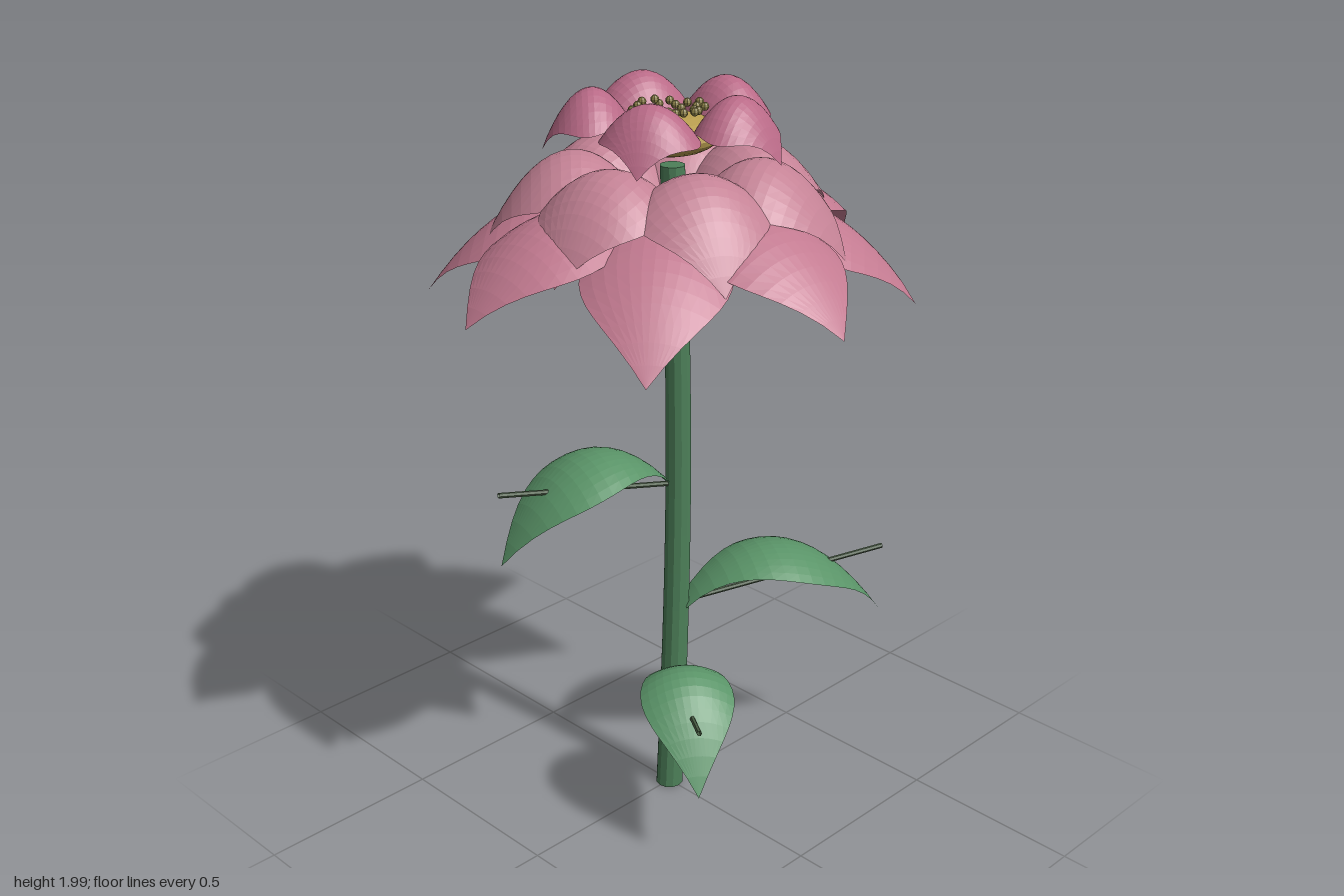
import * as THREE from 'three';

const paint = (color) => new THREE.MeshStandardMaterial({ color, flatShading: true, side: THREE.DoubleSide });
const stemGreen = paint(0x4d8059), leafGreen = paint(0x5a9468), budGreen = paint(0x427a55);
const outerPink = paint(0xc27a90), midPink = paint(0xc48295), innerPink = paint(0xb96a87);
const gold = paint(0xb79d4e), anther = paint(0x8f8449), rodGreen = paint(0x4a5f45);

const stemBend = (y) => 0.033 * Math.sin((Math.PI * y) / 2);

function part(name, geometry, material) {
  const mesh = new THREE.Mesh(geometry, material);
  mesh.name = name;
  return mesh;
}

// Arched blade along +x: climbs by rise, ends at height end, sides droop, tip is pointed
function blade({ start, length, width, rise, end, droop, base }) {
  const geo = new THREE.PlaneGeometry(1, 2, 16, 12).rotateX(-Math.PI / 2);
  const pos = geo.attributes.position;
  const a = 2 * rise + 2 * Math.sqrt(rise * rise - rise * end), b = end - a;
  for (let i = 0; i < pos.count; i++) {
    const t = pos.getX(i) + 0.5, v = pos.getZ(i);
    const w = Math.max(0, Math.sin(Math.PI * (base + (1 - base) * Math.pow(t, 1.25))));
    pos.setXYZ(i, start + length * t, a * t + b * t * t - droop * (w * v) ** 2, width * w * v);
  }
  geo.computeVertexNormals();
  return geo;
}

// Ring of petals; angles run from +x towards +z
function petalRing(name, count, offset, y, material, shapeFor) {
  const ring = new THREE.Group();
  ring.name = name;
  for (let i = 0; i < count; i++) {
    const petal = part('petal', blade(shapeFor(i)), material);
    petal.rotation.y = -(offset * Math.PI / 180 + (i * 2 * Math.PI) / count);
    petal.position.y = y;
    ring.add(petal);
  }
  return ring;
}

// Leaf with a thin straight stalk running out along it
function leaf(tipX, tipZ, y, width) {
  const group = new THREE.Group();
  group.name = 'leaf';
  const x0 = stemBend(y), length = Math.hypot(tipX - x0, tipZ);
  group.add(part('leafBlade', blade({
    start: 0.02, length: length - 0.02, width, rise: 0.14, end: -0.11, droop: 0.05, base: 0.08,
  }), leafGreen));
  const line = new THREE.LineCurve3(new THREE.Vector3(0, 0, 0), new THREE.Vector3(length, 0.09, 0));
  group.add(part('leafStalk', new THREE.TubeGeometry(line, 1, 0.007, 6), rodGreen));
  group.position.set(x0, y, 0);
  group.rotation.y = -Math.atan2(tipZ, tipX - x0);
  return group;
}

export function createModel() {
  const model = new THREE.Group();
  model.name = 'flower';

  // Gently bowed, tapering stem
  const stemGeo = new THREE.CylinderGeometry(0.032, 0.038, 1.8, 12, 16).translate(0, 0.9, 0);
  const p = stemGeo.attributes.position;
  for (let i = 0; i < p.count; i++) p.setX(i, p.getX(i) + stemBend(p.getY(i)));
  stemGeo.computeVertexNormals();
  model.add(part('stem', stemGeo, stemGreen));

  // Leaves
  model.add(leaf(-0.475, -0.13, 0.93, 0.14));
  model.add(leaf(0.55, 0.29, 0.57, 0.14));
  model.add(leaf(-0.23, 0.34, 0.33, 0.125));

  // Green base under the bloom
  const bud = part('receptacle', new THREE.IcosahedronGeometry(1, 4), budGreen);
  bud.scale.set(0.165, 0.115, 0.165);
  bud.position.set(0.01, 1.62, 0);
  model.add(bud);

  // Three tiers of petals
  model.add(petalRing('outerPetals', 8, 4.7, 1.66, outerPink, (i) => ({
    start: 0.08, length: 0.537, width: 0.18, droop: 0.07, base: 0.12,
    rise: i % 2 ? 0.06 : 0.08, end: i % 2 ? -0.2 : -0.14,
  })));
  model.add(petalRing('middlePetals', 7, 15.8, 1.72, midPink, () => ({
    start: 0.07, length: 0.39, width: 0.165, droop: 0.09, base: 0.13, rise: 0.12, end: -0.11,
  })));
  model.add(petalRing('innerPetals', 5, 4.8, 1.895, innerPink, () => ({
    start: 0.085, length: 0.225, width: 0.122, droop: 0.09, base: 0.16, rise: 0.1, end: -0.05,
  })));

  // Golden centre with small beads spread over it
  const disc = part('flowerCentre', new THREE.SphereGeometry(1, 24, 12), gold);
  disc.scale.set(0.125, 0.05, 0.125);
  disc.position.y = 1.88;
  model.add(disc);
  const beads = new THREE.Group();
  beads.name = 'stamens';
  const beadGeo = new THREE.SphereGeometry(0.011, 8, 6);
  for (let i = 0; i < 22; i++) {
    const r = 0.04 + 0.052 * Math.sqrt(i / 21), angle = i * 2.4;
    const bead = part('stamen', beadGeo, anther);
    bead.position.set(r * Math.cos(angle), 1.935 + 0.018 * ((i * 7) % 5) / 4, r * Math.sin(angle));
    beads.add(bead);
  }
  model.add(beads);
  return model;
}
